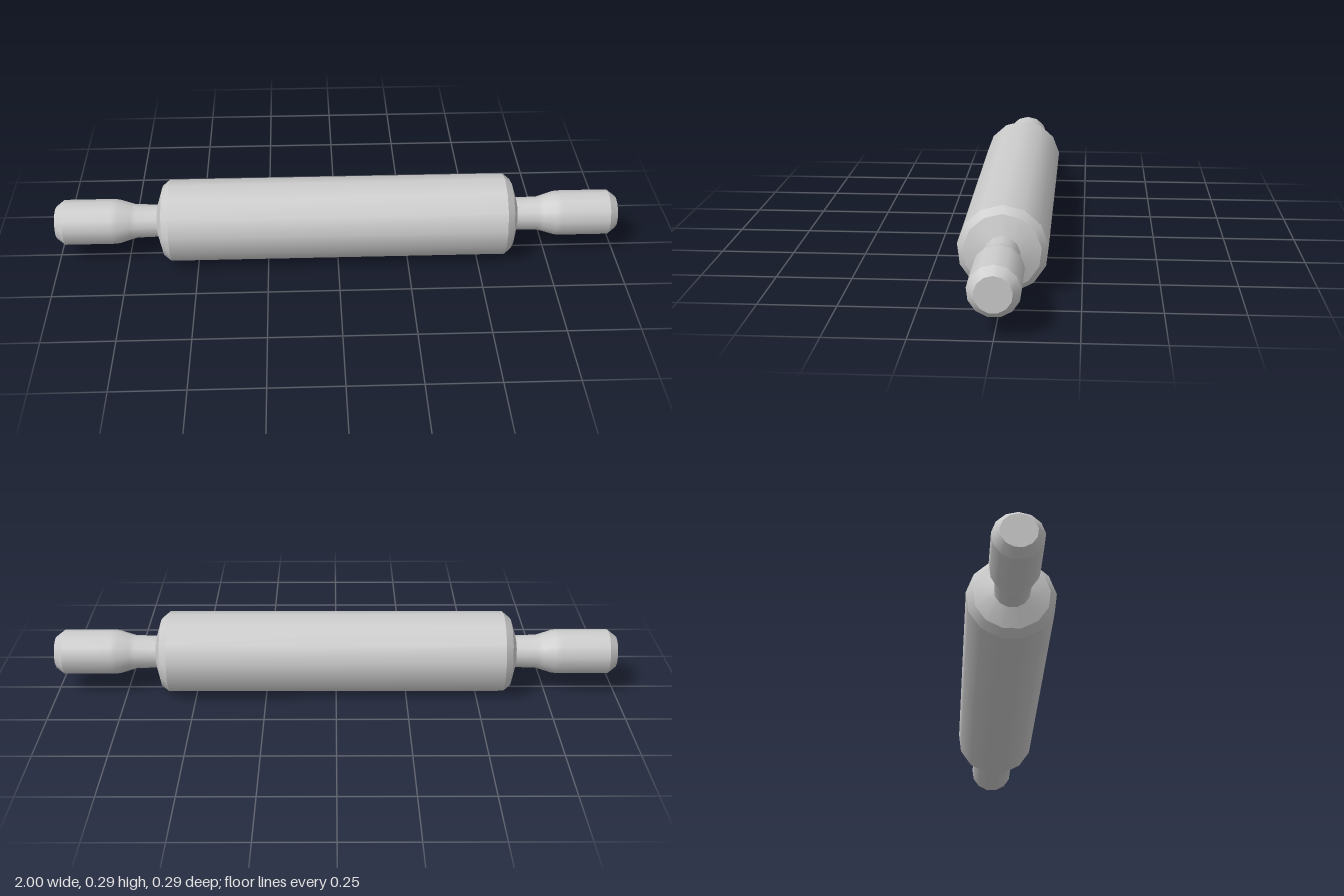
import * as THREE from 'three';

const SIDES = 13;
const AXIS_Y = 0.1413;
const material = new THREE.MeshStandardMaterial({ color: 0xcccccc });

// Turns a profile of [distance along x, radius] points around the x axis, one side's corner on top
function turned(name, profile) {
  const points = profile.map(([x, r]) => new THREE.Vector2(r, x));
  const geometry = new THREE.LatheGeometry(points, SIDES, -Math.PI / 2);
  geometry.rotateZ(-Math.PI / 2);
  const mesh = new THREE.Mesh(geometry, material);
  mesh.name = name;
  return mesh;
}

// Bevelled roller end and handle, pointing along +x; each piece is smooth, with sharp edges between
function createEnd(name) {
  const end = new THREE.Group();
  end.name = name;
  end.add(
    turned('rollerBevel', [[0.594, 0.1455], [0.62, 0.124]]),
    turned('rollerEnd', [[0.62, 0.124], [0.64, 0.058]]),
    turned('handleGrip', [[0.64, 0.058], [0.715, 0.06], [0.735, 0.066], [0.775, 0.0785], [0.8, 0.0805], [0.97, 0.0805]]),
    turned('handleBevel', [[0.97, 0.0805], [1, 0.057]]),
    turned('handleCap', [[1, 0.057], [1, 0]])
  );
  return end;
}

export function createModel() {
  const model = new THREE.Group();
  model.name = 'rollingPin';

  // Main cylinder
  model.add(turned('roller', [[-0.594, 0.1455], [0.594, 0.1455]]));

  // Matching ends
  const left = createEnd('leftEnd');
  const right = createEnd('rightEnd');
  right.rotation.y = Math.PI;
  model.add(left, right);

  model.children.forEach((part) => { part.position.y = AXIS_Y; });
  return model;
}
